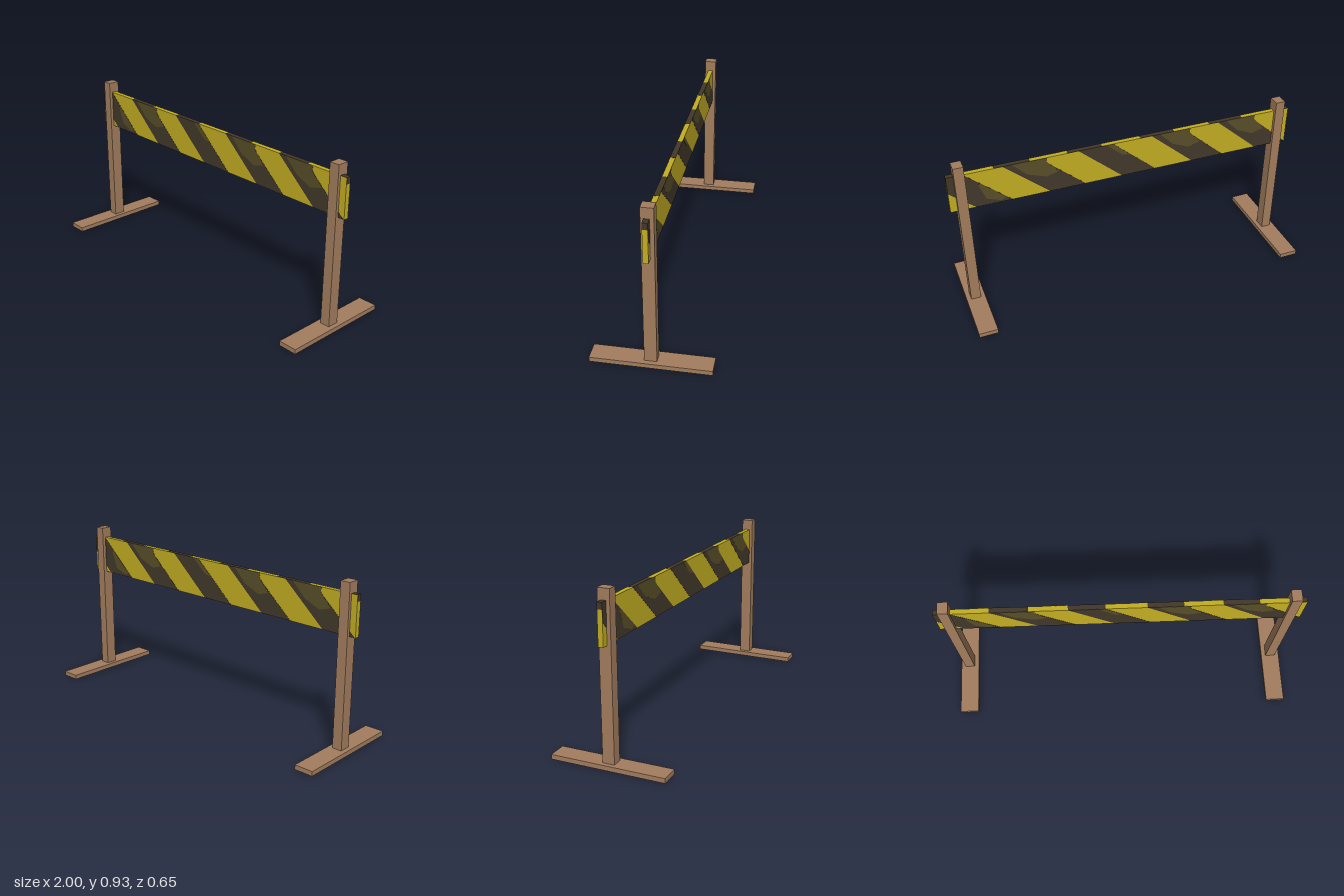
import * as THREE from 'three';

const material = (name, color) =>
  Object.assign(new THREE.MeshStandardMaterial({ color }), { name });

export function createModel() {
  const wood = material('wood', 0xa27d5d);
  const yellow = material('yellow paint', 0xc2ad22);
  const dark = material('dark paint', 0x42382a);
  const olive = material('worn olive paint', 0x584e28);
  const grey = material('bare grey', 0xb4b0a8);

  const model = new THREE.Group();
  model.name = 'barrier';

  function box(parent, name, mat, size, position) {
    const mesh = new THREE.Mesh(new THREE.BoxGeometry(...size), mat);
    mesh.name = name;
    mesh.position.set(...position);
    parent.add(mesh);
  }

  // Uprights on flat feet
  for (const [side, x, postZ, footZ] of [['left', 0.932, 0.008, 0.005], ['right', -0.935, -0.011, -0.009]]) {
    box(model, side + 'Foot', wood, [0.107, 0.026, 0.637], [x, 0.013, footZ]);
    box(model, side + 'Post', wood, [0.056, 0.9, 0.066], [x, 0.475, postZ]);
  }

  // Board passing through both uprights at a slight angle
  const L = 2, H = 0.22, T = 0.028, h = H / 2;
  const board = new THREE.Group();
  board.name = 'board';
  board.position.set(0, 0.755, -0.001);
  board.rotation.y = -0.012;
  model.add(board);
  box(board, 'plank', yellow, [L - 0.002, H, T], [0, 0, 0]);

  // Thin painted plate from corner points, lying on the plank face
  function plate(parent, name, mat, points, lift) {
    const shape = new THREE.Shape(points.map(([x, y]) => new THREE.Vector2(x, y)));
    const mesh = new THREE.Mesh(
      new THREE.ExtrudeGeometry(shape, { depth: 0.0008, bevelEnabled: false }), mat);
    mesh.name = name;
    mesh.position.z = T / 2 + lift;
    parent.add(mesh);
  }

  // Slanted stripes: left and right end of each along the top edge
  const slant = 0.25;
  const stripes = [[-0.70, -0.495], [-0.28, -0.08], [0.145, 0.34], [0.55, 0.745]];
  for (const side of ['front', 'back']) {
    const face = new THREE.Group();
    face.name = side + 'Stripes';
    if (side === 'back') face.rotation.y = Math.PI;

    // Stripe cut off by the end of the board, worn along its lower right
    plate(face, 'endStripe', dark,
      [[-0.999, h], [-0.91, h], [-0.66, -h], [-0.86, -h], [-0.999, 0.01]], 0);
    plate(face, 'wornPatch', olive,
      [[-0.84, 0.03], [-0.82, 0.03], [-0.69, -0.085], [-0.72, -0.1], [-0.8, -0.07]], 0.0004);

    stripes.forEach(([a, b], i) => {
      plate(face, 'stripe', dark, [[a, h], [b, h], [b + slant, -h], [a + slant, -h]], 0);
      // Worn upper part, spilling a little past the stripe
      plate(face, 'wornPatch', olive, i === 1
        ? [[b - 0.04, h], [b, h], [b + 0.1, 0.022], [b + 0.05, 0.03]]
        : [[a + 0.05, h], [b + 0.04, h], [b + 0.035, 0.085], [b + 0.1, 0.01],
          [b + 0.03, -0.01], [a + 0.13, 0.03]], 0.0004);
    });
    board.add(face);
  }

  // Stripes wrapped over the top edge
  for (const [a, b] of [[-0.999, -0.96], ...stripes, [0.96, 0.999]]) {
    box(board, 'topStripe', dark, [b - a, 0.002, T], [(a + b) / 2, h, 0]);
  }

  // Underside, half bare grey and half wood
  box(board, 'undersideGrey', grey, [0.999, 0.002, T], [0.4995, -h, 0]);
  box(board, 'undersideWood', wood, [0.999, 0.002, T], [-0.4995, -h, 0]);

  // Dark upper corners on the board ends
  for (const s of [-1, 1]) {
    box(board, 'endPatch', dark, [0.002, 0.035, T], [s * (L / 2 - 0.001), h - 0.0175, 0]);
  }
  return model;
}
